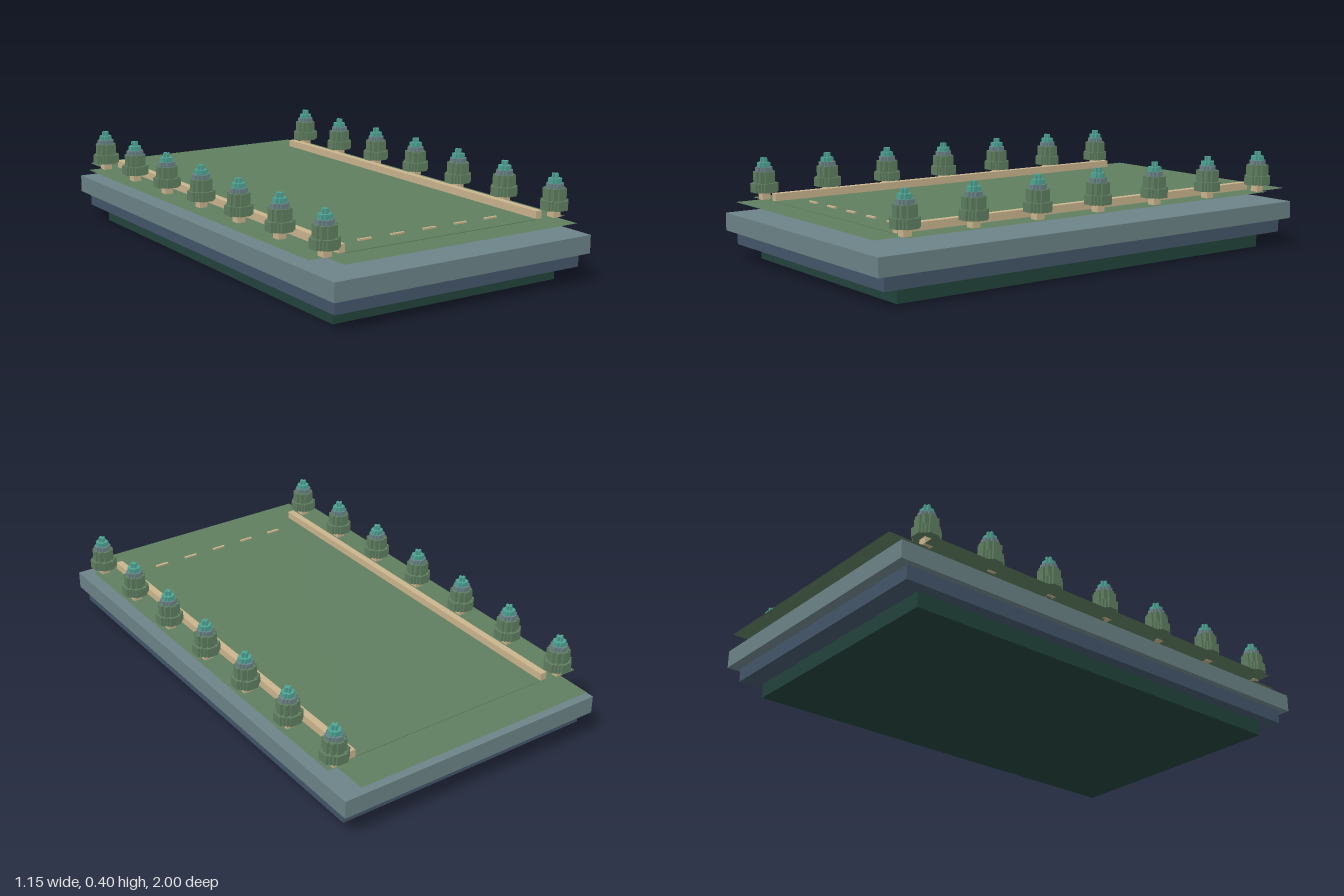
import * as THREE from 'three';
import { mergeGeometries } from 'three/addons/utils/BufferGeometryUtils.js';

const mat = (name, color, side = THREE.FrontSide) => {
  const m = new THREE.MeshStandardMaterial({ color, side });
  m.name = name;
  return m;
};

export function createModel() {
  const grass = mat('grass green', 0x5f7e60, THREE.DoubleSide);
  const stone = mat('slate grey', 0x6c8488);
  const deep = mat('deep blue grey', 0x43566a);
  const base = mat('dark green', 0x23433c);
  const sand = mat('sand', 0xcbb58e);
  const teal = mat('teal', 0x4fa596);

  const model = new THREE.Group();
  model.name = 'tree lined lawn';

  const add = (name, geometry, material, parent = model) => {
    const mesh = new THREE.Mesh(geometry, material);
    mesh.name = name;
    parent.add(mesh);
    return mesh;
  };
  // Box given by its limits on each axis
  const boxGeo = (x0, x1, y0, y1, z0, z1) =>
    new THREE.BoxGeometry(x1 - x0, y1 - y0, z1 - z0)
      .translate((x0 + x1) / 2, (y0 + y1) / 2, (z0 + z1) / 2);
  const sheetGeo = (x0, x1, y, z0, z1) =>
    new THREE.PlaneGeometry(x1 - x0, z1 - z0).rotateX(-Math.PI / 2)
      .translate((x0 + x1) / 2, y, (z0 + z1) / 2);

  // Stepped foundation
  add('lowerSlab', boxGeo(-0.49, 0.505, 0, 0.06, -0.86, 0.885), base);
  add('middleSlab', boxGeo(-0.535, 0.55, 0.06, 0.115, -0.94, 0.963), deep);
  add('upperSlab', boxGeo(-0.56, 0.573, 0.115, 0.185, -0.983, 0.998), stone);

  // Raised lawn: broad sheet, side verges and thin central field
  add('lawn', sheetGeo(-0.507, 0.52, 0.232, -1, 0.98), grass);
  add('leftVerge', sheetGeo(0.43, 0.558, 0.233, -0.86, 0.873), grass);
  add('rightVerge', sheetGeo(-0.577, -0.42, 0.233, -0.86, 0.873), grass);
  add('field', boxGeo(-0.42, 0.433, 0.226, 0.234, -0.845, 0.86), grass);

  // Low walls along both sides
  add('leftWall', boxGeo(0.433, 0.461, 0.232, 0.263, -0.845, 0.853), sand);
  add('rightWall', boxGeo(-0.446, -0.418, 0.232, 0.263, -0.845, 0.853), sand);

  // Row of short markers near the front
  for (let i = -2; i <= 2; i++) {
    const x = 0.007 + i * 0.1415;
    add('marker', boxGeo(x - 0.028, x + 0.028, 0.237, 0.243, 0.76, 0.77), sand);
  }

  // Stepped voxel crown: each layer is a disc made of rows of cubes
  const v = 0.009;
  const crown = (first, radii) => {
    const rows = [];
    radii.forEach((n, i) => {
      const y = 0.262 + (first + i) * v;
      for (let j = -n; j <= n; j++) {
        const k = Math.floor(Math.sqrt((n + 0.4) ** 2 - j * j));
        const h = (k + 0.5) * v;
        rows.push(boxGeo(-h, h, y, y + v, (j - 0.5) * v, (j + 0.5) * v));
      }
    });
    return mergeGeometries(rows);
  };
  const foliage = crown(0, [5, 5, 5, 5, 4, 4, 4, 4, 4]);
  const band = crown(9, [3, 3]);
  const tip = crown(11, [2, 2, 1, 1]);
  const trunk = boxGeo(-0.017, 0.017, 0.232, 0.265, -0.017, 0.017);

  // Seven trees on each side
  for (const x of [-0.503, 0.518]) {
    for (let i = -3; i <= 3; i++) {
      const tree = new THREE.Group();
      tree.name = x > 0 ? 'leftTree' : 'rightTree';
      add('trunk', trunk, sand, tree);
      add('foliage', foliage, grass, tree);
      add('upperFoliage', band, stone, tree);
      add('treeTip', tip, teal, tree);
      tree.position.set(x, 0, 0.008 + i * 0.283);
      model.add(tree);
    }
  }
  return model;
}
